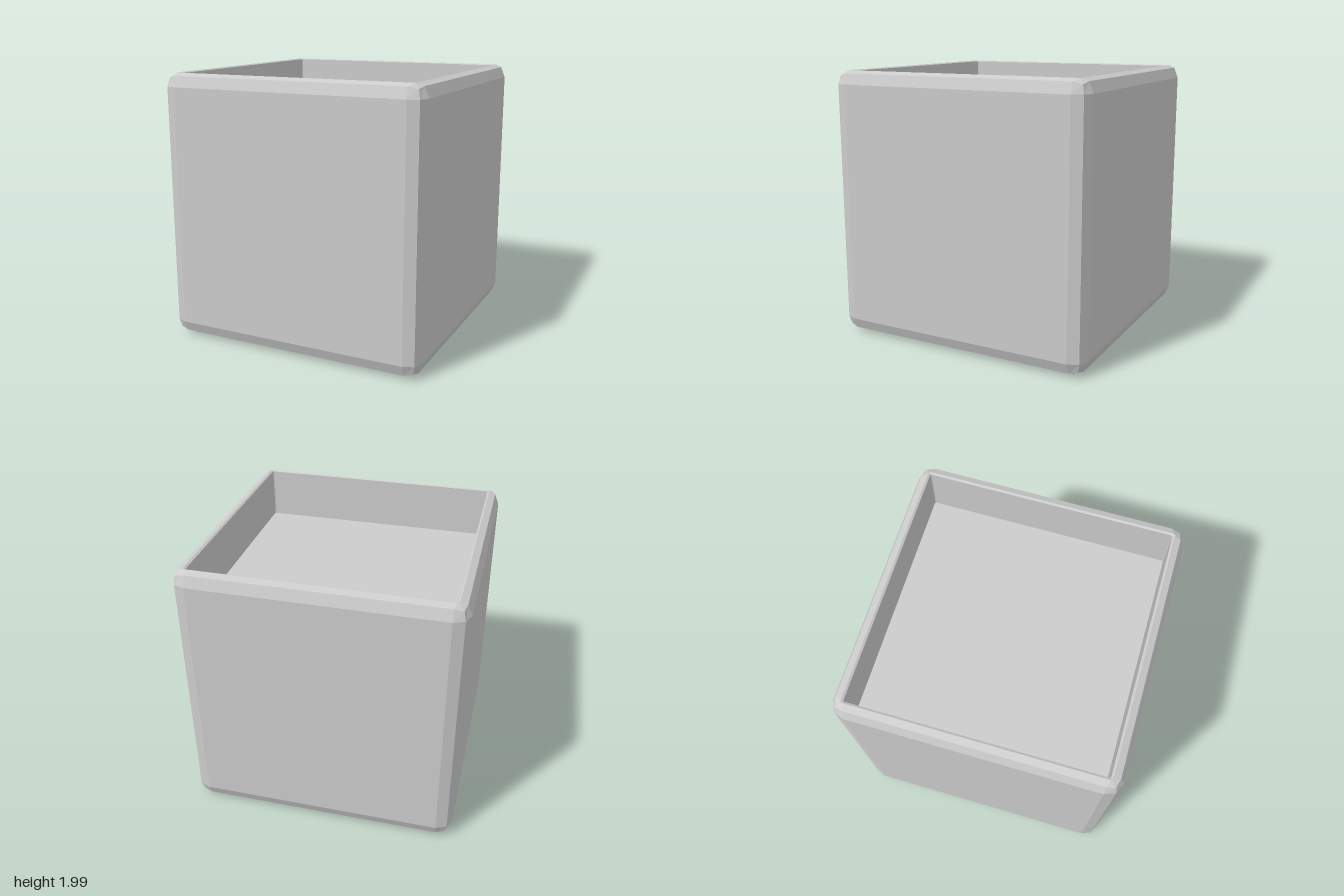
import * as THREE from 'three';

const grey = () => new THREE.MeshStandardMaterial({ color: 0xcccccc, flatShading: true });

// Square ring with three points per corner: core = where the straight side ends,
// half = outer reach of the side, mid/midY = the point on the corner diagonal.
function ring({ y, half, core, mid, midY = y }) {
  const points = [];
  for (let k = 0; k < 4; k++) {
    const corner = [[half, y, -core], [mid, midY, -mid], [core, y, -half]];
    for (const [x, h, z] of corner) {
      points.push(new THREE.Vector3(x, h, z).applyAxisAngle(new THREE.Vector3(0, 1, 0), k * Math.PI / 2));
    }
  }
  return points;
}

// Skin between successive rings
function loft(rings) {
  const pos = [];
  for (let i = 0; i < rings.length - 1; i++) {
    const lo = rings[i], hi = rings[i + 1], n = lo.length;
    for (let j = 0; j < n; j++) {
      const k = (j + 1) % n;
      for (const p of [lo[j], lo[k], hi[k], lo[j], hi[k], hi[j]]) pos.push(p.x, p.y, p.z);
    }
  }
  const geo = new THREE.BufferGeometry();
  geo.setAttribute('position', new THREE.Float32BufferAttribute(pos, 3));
  geo.computeVertexNormals();
  return geo;
}

export function createModel() {
  const group = new THREE.Group();
  const add = (geo, name) => {
    const mesh = new THREE.Mesh(geo, grey());
    mesh.name = name;
    group.add(mesh);
    return mesh;
  };

  const inner = 0.905, floorY = 1.6;

  // Bevelled outer walls, running over the rim and down the inside
  add(loft([
    { y: 0, half: 0.89, core: 0.89, mid: 0.89 },
    { y: 0.032, half: 0.968, core: 0.89, mid: 0.953, midY: 0.047 },
    { y: 0.11, half: 1, core: 0.89, mid: 0.968 },
    { y: 1.89, half: 1, core: 0.89, mid: 0.968 },
    { y: 1.968, half: 0.968, core: 0.89, mid: 0.953, midY: 1.953 },
    { y: 1.988, half: 0.92, core: 0.905, mid: 0.915 },
    { y: 1.98, half: inner, core: 0.895, mid: 0.902 },
    { y: floorY, half: inner, core: 0.895, mid: 0.902 },
  ].map(ring)), 'shell');

  // Flat underside
  add(new THREE.PlaneGeometry(1.78, 1.78).rotateX(Math.PI / 2), 'underside');

  // Recessed floor inside the opening
  add(new THREE.PlaneGeometry(inner * 2, inner * 2).rotateX(-Math.PI / 2).translate(0, floorY, 0), 'innerFloor');

  return group;
}
